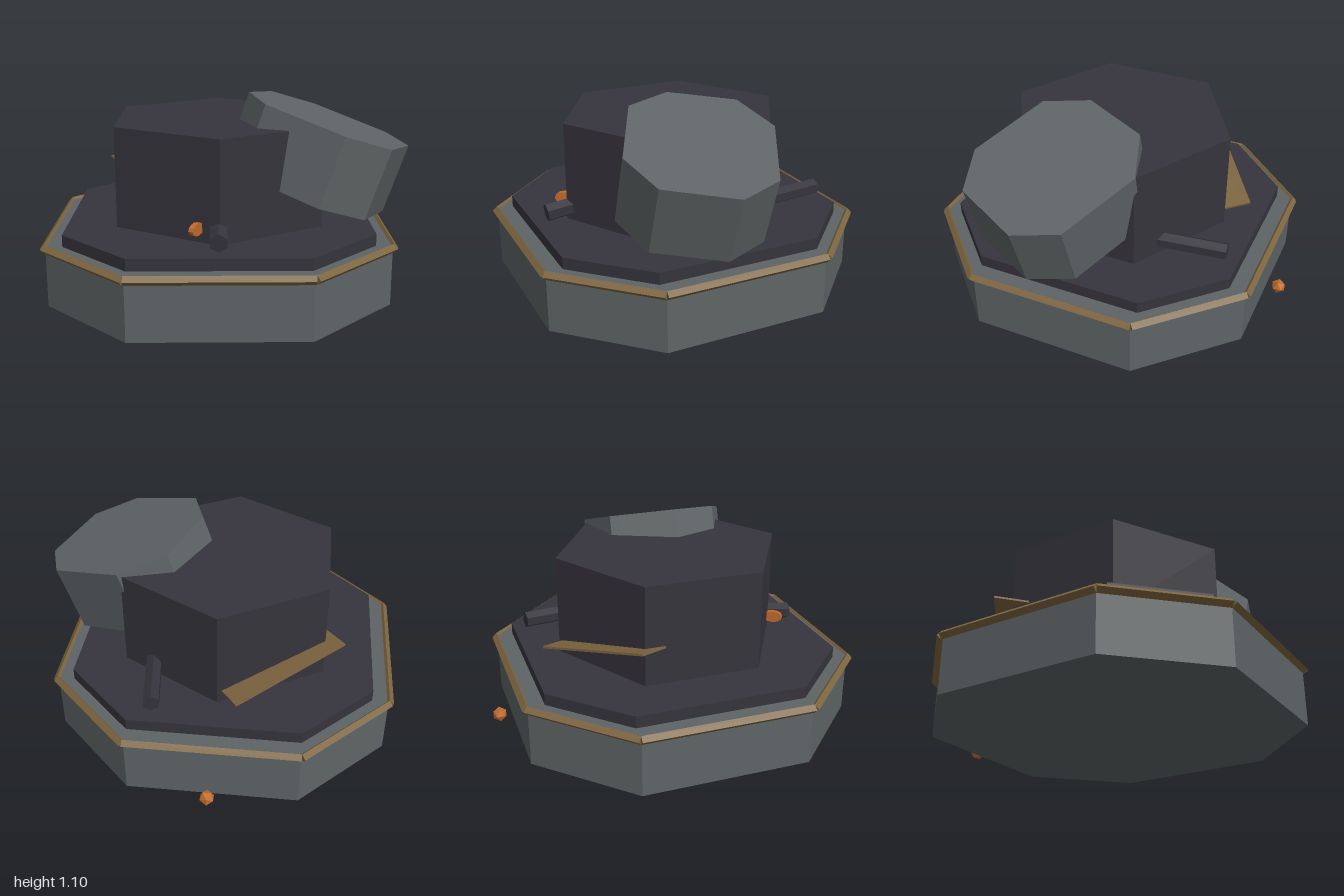
import * as THREE from 'three';

const CX = -0.05, CZ = 0.046; // centre of the plinth
const paint = (name, color) => {
  const m = new THREE.MeshStandardMaterial({ color, flatShading: true });
  m.name = name;
  return m;
};

export function createModel() {
  const group = new THREE.Group();
  const stone = paint('stone grey', 0x5e6466);
  const iron = paint('dark iron', 0x36343c);
  const brass = paint('aged brass', 0x7d6540);
  const copper = paint('copper', 0xc06a2c);

  const add = (name, geometry, material, x, y, z) => {
    const mesh = new THREE.Mesh(geometry, material);
    mesh.name = name;
    mesh.position.set(x, y, z);
    group.add(mesh);
    return mesh;
  };

  // Upright prism over a ground outline of [x, z] points, base at y = 0
  const prism = (points, height) => {
    const shape = new THREE.Shape(points.map(([x, z]) => new THREE.Vector2(x, -z)));
    return new THREE.ExtrudeGeometry(shape, { depth: height, bevelEnabled: false }).rotateX(-Math.PI / 2);
  };

  // Square outline with cut corners: a = half width, b = half of the straight side
  const octagon = (a, b) => [[b, a], [a, b], [a, -b], [b, -a], [-b, -a], [-a, -b], [-a, b], [-b, a]];

  // Six-sided rod between two points
  const rod = (name, from, to, radius, sides, material) => {
    const a = new THREE.Vector3(...from), b = new THREE.Vector3(...to);
    const geo = new THREE.CylinderGeometry(radius, radius, a.distanceTo(b), sides).rotateX(Math.PI / 2);
    const mid = a.clone().add(b).multiplyScalar(0.5);
    const mesh = add(name, geo, material, mid.x, mid.y, mid.z);
    mesh.lookAt(b);
    return mesh;
  };

  // Stepped plinth
  add('plinth', prism(octagon(0.92, 0.46), 0.335), stone, CX, 0, CZ);
  add('upperStep', prism(octagon(0.83, 0.46), 0.08), iron, CX, 0.32, CZ);

  // Diamond-section trim along each plinth edge
  const rim = octagon(0.925, 0.465);
  rim.forEach(([x, z], i) => {
    const [x2, z2] = rim[(i + 1) % 8];
    rod('rimTrim', [CX + x, 0.323, CZ + z], [CX + x2, 0.323, CZ + z2], 0.025, 4, brass);
  });

  // Hexagonal drum
  add('drum', new THREE.CylinderGeometry(0.641, 0.641, 0.55, 6), iron, CX, 0.675, CZ);

  // Tilted broken block leaning on the drum
  const blockOutline = [
    [-0.39, 0.245], [0.026, 0.445], [0.29, 0.37], [0.464, 0.01],
    [0.38, -0.235], [-0.04, -0.445], [-0.316, -0.36], [-0.47, -0.01],
  ];
  const block = add('fallenBlock', prism(blockOutline, 0.397).translate(0, -0.397, 0), stone, 0.56, 0.952, 0.16);
  block.rotation.z = -0.325;

  // Rods sticking out of the drum
  rod('frontRod', [-0.055, 0.5, 0.4], [-0.055, 0.452, 0.805], 0.05, 6, iron);
  rod('backRod', [0.335, 0.468, -0.3], [0.283, 0.468, -0.72], 0.047, 6, iron);

  // Slanted thin plate wedged in the back corner face
  const plate = add('wedgedPlate', new THREE.BoxGeometry(0.69, 0.012, 0.2), brass, -0.38, 0.548, -0.434);
  plate.rotation.set(0, 0.6, -0.26, 'ZYX');

  // Small copper knob on the front face
  const knobGeo = new THREE.CylinderGeometry(0.055, 0.055, 0.028, 12).rotateZ(Math.PI / 2).scale(1, 0.6, 1);
  const knob = add('copperKnob', knobGeo, copper, -0.168, 0.48, 0.66);
  knob.rotation.y = -Math.PI / 6;

  // Loose copper nugget behind the plinth
  add('copperNugget', new THREE.IcosahedronGeometry(0.042, 0), copper, -0.035, 0.052, -0.954);

  return group;
}
